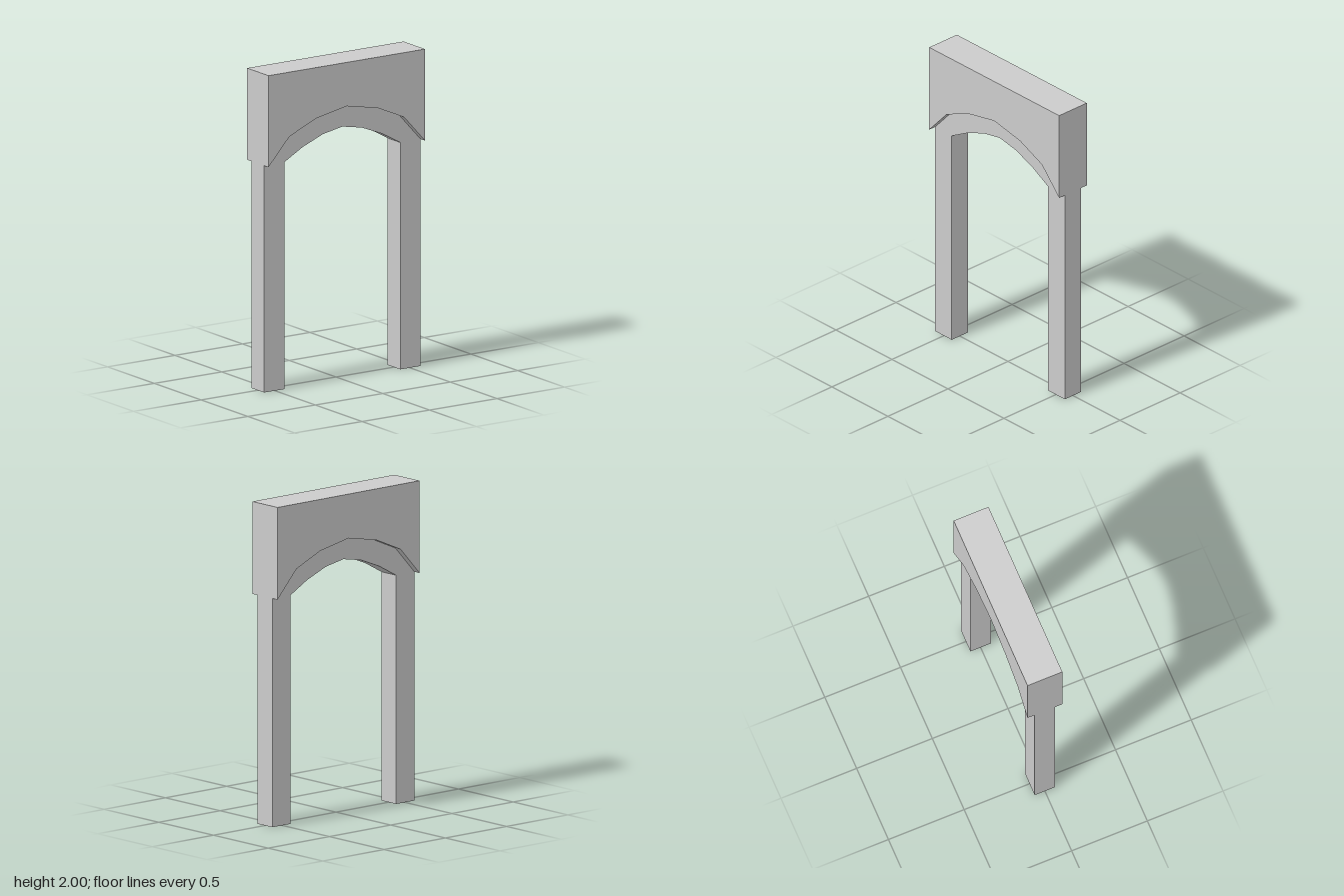
import * as THREE from 'three';
import { toCreasedNormals } from 'three/addons/utils/BufferGeometryUtils.js';

const HALF_WIDTH = 0.58;
const SPRING_Y = 1.425;

// Right half of each arch curve, from springing to crown
const INTRADOS = [[0.43, SPRING_Y], [0.295, 1.5], [0.145, 1.56], [0, 1.587]];
const EXTRADOS = [[HALF_WIDTH, SPRING_Y], [0.425, 1.595], [0.23, 1.68], [0, 1.725]];

// Full curve from right springing to left springing
function mirrored(half) {
  const left = half.slice(0, -1).reverse().map(([x, y]) => [-x, y]);
  return [...half, ...left];
}

// Outline extruded evenly about z = 0
function slab(points, depth) {
  const shape = new THREE.Shape(points.map(([x, y]) => new THREE.Vector2(x, y)));
  const geometry = new THREE.ExtrudeGeometry(shape, { depth, bevelEnabled: false });
  return geometry.translate(0, 0, -depth / 2);
}

export function createModel() {
  const group = new THREE.Group();
  group.name = 'archway';
  const material = new THREE.MeshStandardMaterial({ color: 0xcccccc });

  const add = (name, geometry) => {
    const mesh = new THREE.Mesh(geometry, material);
    mesh.name = name;
    group.add(mesh);
  };

  // Two posts and the arch ring in one piece, with a softly shaded soffit
  const frame = slab([
    [HALF_WIDTH, 0],
    ...mirrored(EXTRADOS),
    [-HALF_WIDTH, 0],
    [-0.43, 0],
    ...mirrored(INTRADOS).reverse(),
    [0.43, 0],
  ], 0.135);
  add('postsAndArch', toCreasedNormals(frame, 0.5));

  // Thicker wall resting on the arch
  add('upperWall', slab([
    [HALF_WIDTH, 2],
    [-HALF_WIDTH, 2],
    ...mirrored(EXTRADOS).reverse(),
  ], 0.23));

  return group;
}
